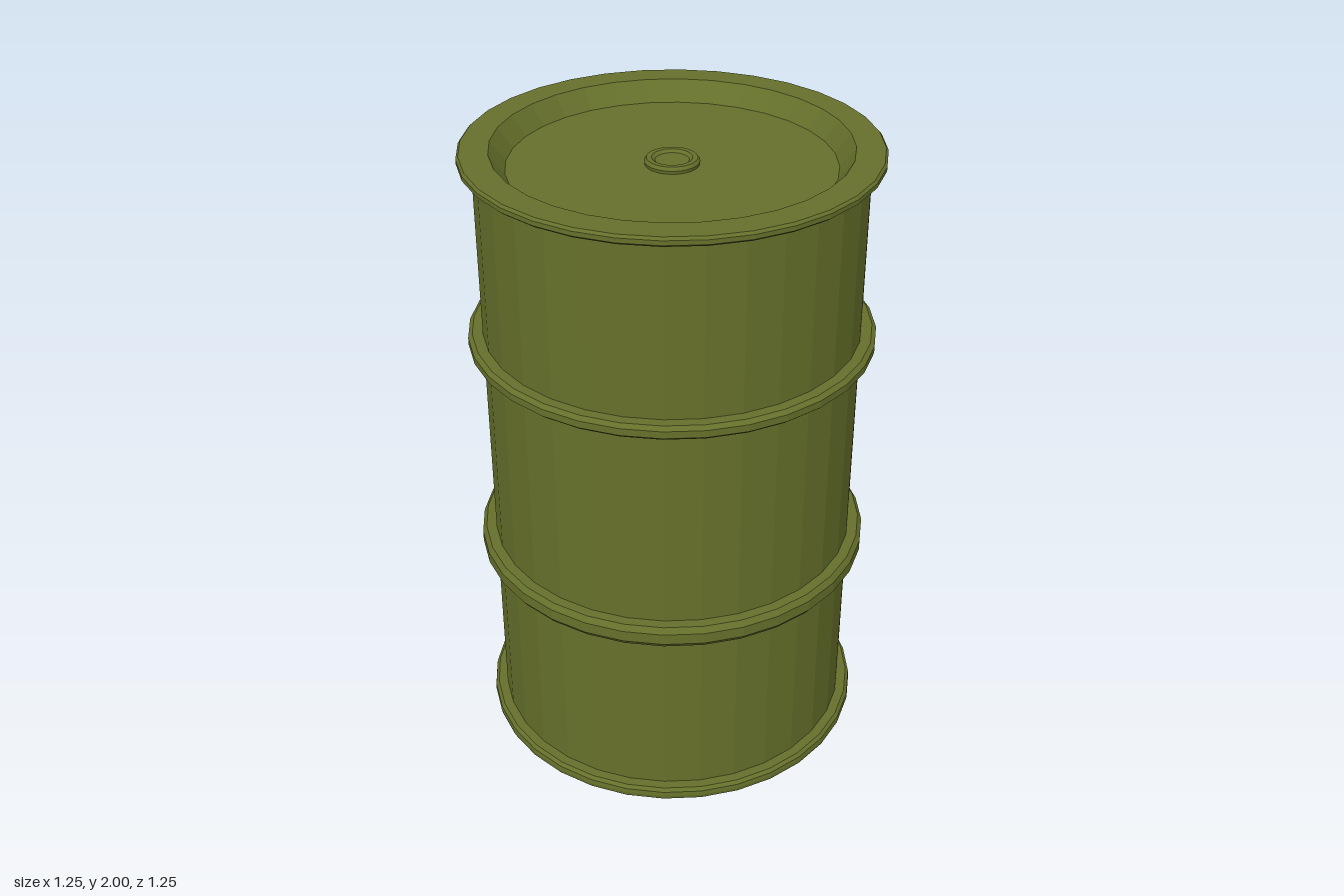
import * as THREE from 'three';

const SIDES = 32;

export function createModel() {
  const group = new THREE.Group();
  const material = new THREE.MeshStandardMaterial({ color: 0x66702b, flatShading: true });

  // Turned part: profile of [radius, height] running up the outside
  const turned = (name, profile, y = 0) => {
    const points = profile.map(([r, h]) => new THREE.Vector2(r, h));
    const mesh = new THREE.Mesh(new THREE.LatheGeometry(points, SIDES), material);
    mesh.name = name;
    mesh.position.y = y;
    group.add(mesh);
    return mesh;
  };

  // Drum shell with rolled rims and recessed ends
  turned('drumShell', [
    [0, 0.045], [0.475, 0.045], [0.52, 0],
    [0.61, 0], [0.62, 0.008], [0.622, 0.02], [0.62, 0.035], [0.61, 0.045], [0.58, 0.045],
    [0.58, 1.97],
    [0.612, 1.97], [0.622, 1.978], [0.622, 1.992], [0.615, 2],
    [0.53, 2], [0.485, 1.94], [0, 1.94],
  ]);

  // Rolling hoops around the body
  for (const [name, low, high] of [['lowerHoop', 0.638, 0.71], ['upperHoop', 1.38, 1.425]]) {
    const bevel = (high - low) * 0.25;
    turned(name, [
      [0.575, low], [0.612, low], [0.625, low + bevel],
      [0.625, high - bevel], [0.612, high], [0.575, high],
    ]);
  }

  // Dished bung in the middle of each end
  const bung = [[0.08, 0], [0.082, 0.01], [0.075, 0.02], [0.06, 0.02], [0.05, 0.012], [0, 0.012]];
  turned('topBung', bung, 1.94);
  turned('bottomBung', bung, 0.045).rotation.x = Math.PI;

  return group;
}
